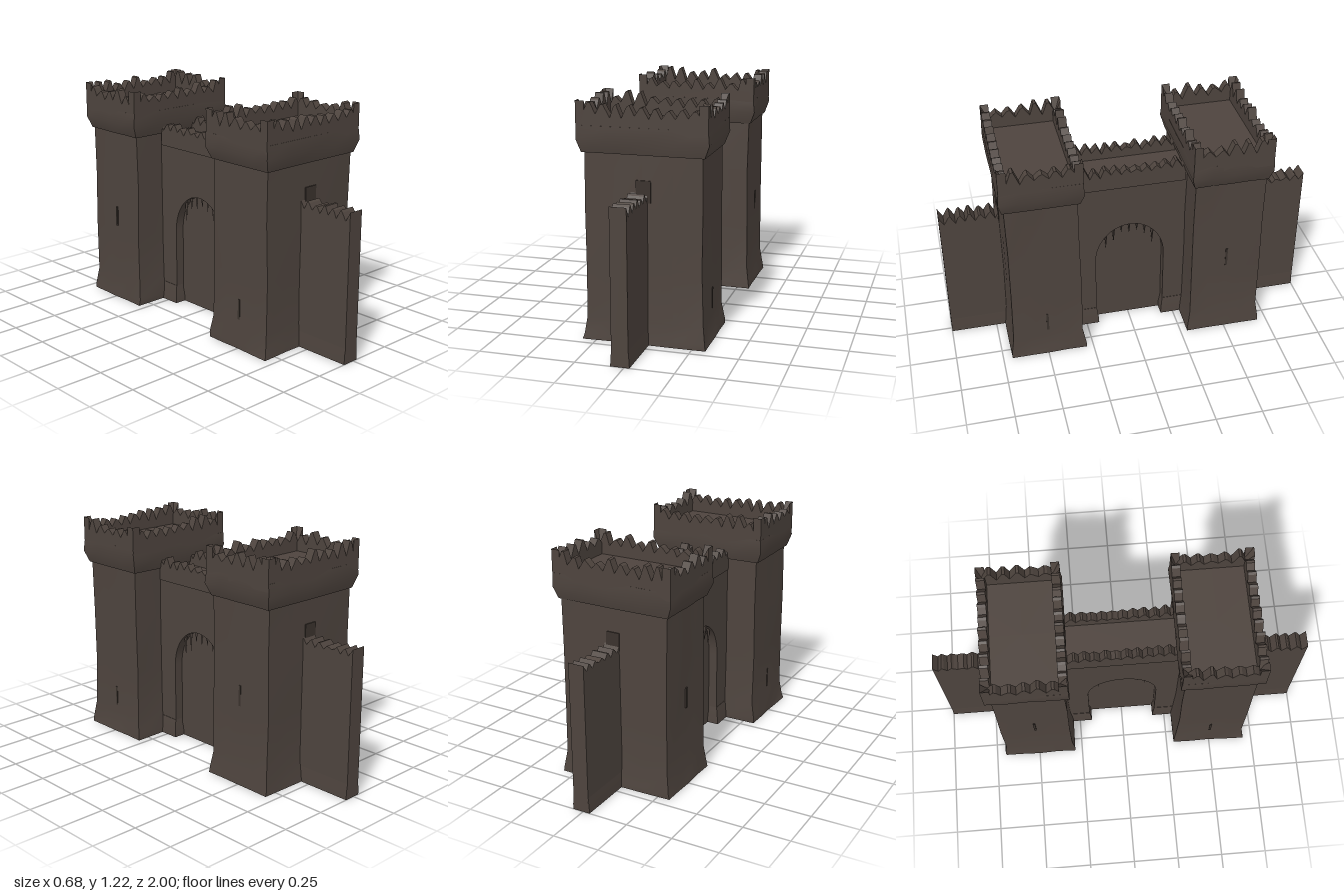
import * as THREE from 'three';
import { toCreasedNormals } from 'three/addons/utils/BufferGeometryUtils.js';

export function createModel() {
  const root = new THREE.Group();
  const stone = new THREE.MeshStandardMaterial({ color: 0x4e443e });
  stone.name = 'dark stone';
  const shadow = new THREE.MeshStandardMaterial({ color: 0x3a322d });
  shadow.name = 'slit stone';

  let seed = 7;
  const rand = () => (seed = (seed * 16807) % 2147483647) / 2147483647;
  const jitter = (a) => (rand() - 0.5) * 2 * a;

  function add(parent, name, geometry, material = stone) {
    const mesh = new THREE.Mesh(geometry, material);
    mesh.name = name;
    parent.add(mesh);
    return mesh;
  }

  // Rectangular loft through rings [y, halfX, halfZ], with slightly worn faces
  function loft(rings, wear) {
    const n = 4, count = n * 4, pos = [], idx = [];
    const corners = [[-1, 1], [1, 1], [1, -1], [-1, -1]];
    rings.forEach(([y, hx, hz]) => {
      for (let s = 0; s < 4; s++) {
        const a = corners[s], b = corners[(s + 1) % 4];
        for (let i = 0; i < n; i++) {
          const t = i / n;
          pos.push((a[0] + (b[0] - a[0]) * t) * hx + jitter(wear), y,
            (a[1] + (b[1] - a[1]) * t) * hz + jitter(wear));
        }
      }
    });
    for (let r = 0; r < rings.length - 1; r++) {
      for (let i = 0; i < count; i++) {
        const a = r * count + i, b = r * count + (i + 1) % count;
        idx.push(a, b, b + count, a, b + count, a + count);
      }
    }
    // Fan caps at the bottom and top
    const last = (rings.length - 1) * count, c0 = pos.length / 3;
    pos.push(0, rings[0][0], 0, 0, rings[rings.length - 1][0], 0);
    for (let i = 0; i < count; i++) {
      const j = (i + 1) % count;
      idx.push(c0, j, i, c0 + 1, last + i, last + j);
    }
    const g = new THREE.BufferGeometry();
    g.setAttribute('position', new THREE.Float32BufferAttribute(pos, 3));
    g.setIndex(idx);
    return toCreasedNormals(g, 0.6);
  }

  // Upright slab along x whose top edge is broken into ragged teeth
  function raggedWall(length, y0, low, high, thickness, teeth) {
    const shape = new THREE.Shape();
    const h = length / 2, step = length / teeth;
    shape.moveTo(-h, y0);
    shape.lineTo(h, y0);
    shape.lineTo(h, high);
    for (let i = 0; i < teeth; i++) {
      const x = h - i * step;
      shape.lineTo(x - step * (0.35 + rand() * 0.15), low + rand() * 0.02);
      if (i === teeth - 1) break;
      const peak = high - rand() * (high - low) * 0.45;
      shape.lineTo(x - step * 0.88, peak);
      shape.lineTo(x - step * 1.08, peak - rand() * 0.012);
    }
    shape.lineTo(-h, high);
    shape.closePath();
    const g = new THREE.ExtrudeGeometry(shape, { depth: thickness, bevelEnabled: false });
    g.translate(0, 0, -thickness / 2);
    return g;
  }

  // Two gate towers with flared feet and overhanging crowns
  for (const end of [1, -1]) {
    const tower = new THREE.Group();
    tower.name = end > 0 ? 'frontTower' : 'backTower';
    tower.position.z = end * 0.495;
    root.add(tower);

    add(tower, 'towerBody', loft([
      [0, 0.318, 0.205], [0.03, 0.315, 0.203], [0.12, 0.302, 0.192], [0.4, 0.3, 0.19],
      [0.7, 0.3, 0.189], [0.98, 0.3, 0.188]], 0.004));
    add(tower, 'towerCrown', loft([
      [0.965, 0.31, 0.198], [1.03, 0.336, 0.215], [1.1, 0.332, 0.212]], 0.003));

    for (const side of [1, -1]) {
      add(tower, 'longBattlement', raggedWall(0.665, 1.06, 1.14, 1.22, 0.045, 10))
        .position.z = side * 0.19;
      const short = add(tower, 'shortBattlement', raggedWall(0.425, 1.06, 1.14, 1.22, 0.045, 6));
      short.rotation.y = Math.PI / 2;
      short.position.x = side * 0.31;
      // Narrow arrow slits in the flanks
      add(tower, 'arrowSlit', new THREE.BoxGeometry(0.008, 0.11, 0.012), shadow)
        .position.set(side * 0.301, end > 0 ? 0.21 : 0.48, 0);
    }

    // Low curtain wall running out from the tower
    const wallX = end > 0 ? -0.02 : 0.01;
    const curtain = add(root, end > 0 ? 'frontCurtainWall' : 'backCurtainWall',
      raggedWall(0.32, 0, 0.735, 0.785, 0.085, 6));
    curtain.rotation.y = Math.PI / 2;
    curtain.position.set(wallX, 0, end * 0.84);
    const foot = add(root, 'curtainFoot', loft([
      [0, 0.048, 0.16], [0.03, 0.047, 0.16], [0.09, 0.042, 0.159]], 0));
    foot.position.set(wallX, 0, end * 0.84);

    // Small doorway from the tower onto the curtain wall
    add(tower, 'wallDoorway', new THREE.BoxGeometry(0.075, 0.11, 0.008), shadow)
      .position.set(0.003, 0.785, end * 0.191);
  }

  // Gatehouse wall with an arched opening
  const wall = new THREE.Shape();
  wall.moveTo(-0.32, 0);
  wall.lineTo(-0.19, 0);
  wall.lineTo(-0.19, 0.43);
  wall.absellipse(0, 0.43, 0.19, 0.225, Math.PI, 0, true);
  wall.lineTo(0.19, 0);
  wall.lineTo(0.32, 0);
  wall.lineTo(0.32, 0.95);
  wall.lineTo(-0.32, 0.95);
  wall.closePath();
  const wallGeometry = new THREE.ExtrudeGeometry(wall, { depth: 0.25, bevelEnabled: false, curveSegments: 14 });
  wallGeometry.translate(0, 0, -0.125);
  wallGeometry.rotateY(Math.PI / 2);
  add(root, 'gateWall', toCreasedNormals(wallGeometry, 0.6));
  add(root, 'gateDoor', new THREE.BoxGeometry(0.15, 0.67, 0.4)).position.y = 0.335;

  for (const side of [1, -1]) {
    const parapet = add(root, 'gateBattlement', raggedWall(0.6, 0.9, 0.975, 1.035, 0.045, 11));
    parapet.rotation.y = Math.PI / 2;
    parapet.position.x = side * 0.11;

    // Broken spikes hanging from the arch
    for (let i = 0; i < 7; i++) {
      const z = -0.13 + i * 0.043;
      const top = 0.43 + 0.225 * Math.sqrt(1 - (z / 0.19) ** 2) + 0.01;
      const length = 0.07 + rand() * 0.05;
      const spike = add(root, 'gateSpike', new THREE.ConeGeometry(0.011, length, 4));
      spike.rotation.x = Math.PI;
      spike.position.set(side * 0.1, top - length / 2, z);
    }
    // Flared feet of the gate piers
    for (const end of [1, -1]) {
      add(root, 'pierFoot', loft([
        [0, 0.035, 0.07], [0.03, 0.033, 0.069], [0.1, 0.022, 0.06]], 0))
        .position.set(side * 0.105, 0, end * 0.25);
    }
  }
  return root;
}
